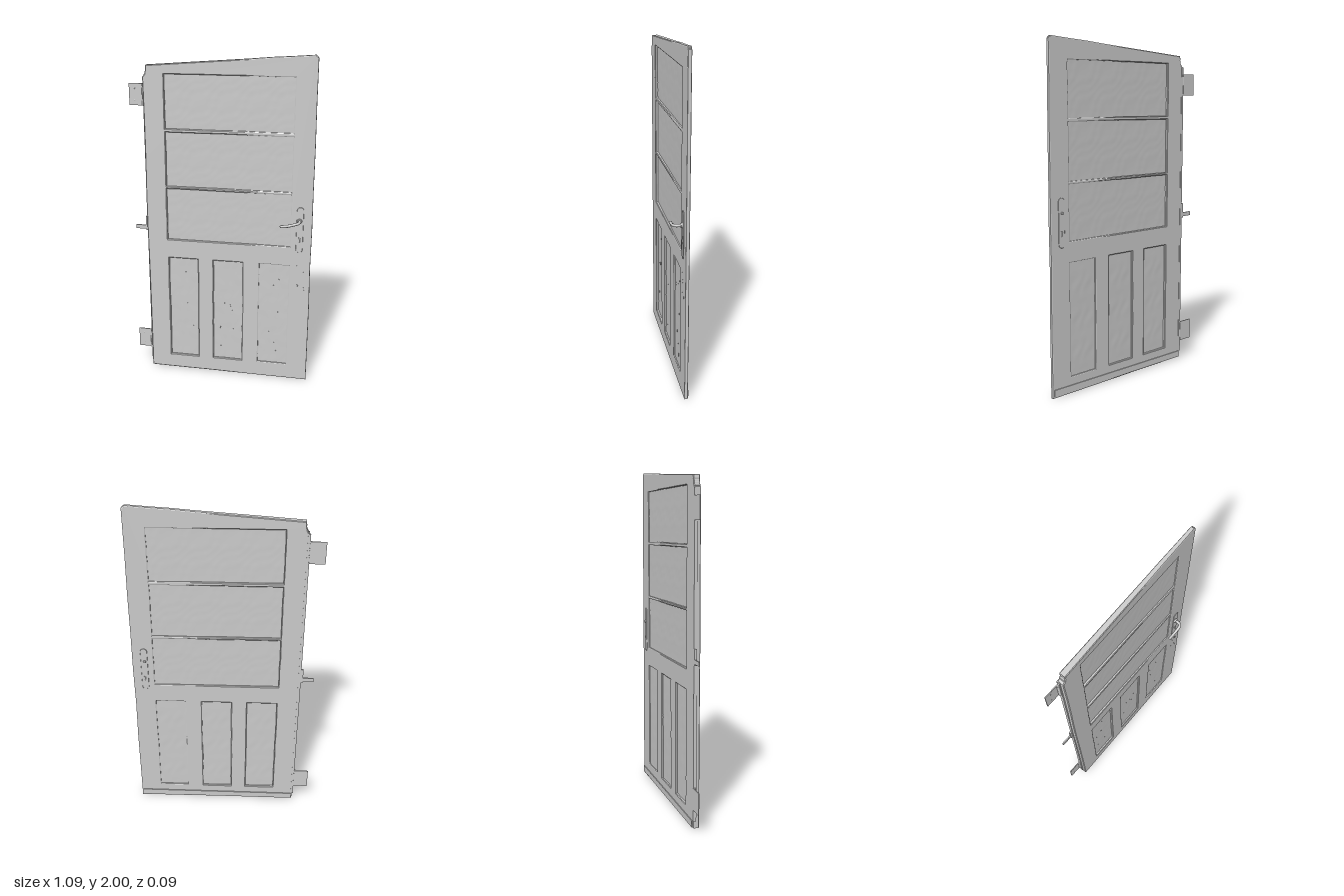
import * as THREE from 'three';

const material = new THREE.MeshStandardMaterial({ color: 0xcccccc });
const BACK = -0.034;
// The front face leans back slightly towards the lock side
const frontZ = (x) => -0.004 - 0.0155 * x;

let seed = 7;
const rand = () => (seed = (seed * 16807) % 2147483647) / 2147483647;

function part(parent, name, geometry, x = 0, y = 0, z = 0) {
  const mesh = new THREE.Mesh(geometry, material);
  mesh.name = name;
  mesh.position.set(x, y, z);
  parent.add(mesh);
  return mesh;
}

function box(parent, name, x0, x1, y0, y1, z0, z1) {
  return part(parent, name, new THREE.BoxGeometry(x1 - x0, y1 - y0, z1 - z0),
    (x0 + x1) / 2, (y0 + y1) / 2, (z0 + z1) / 2);
}

// Subdivides an outline and roughens its edges a little
function wornOutline(corners, steps, wear) {
  const points = [];
  corners.forEach(([x, y], i) => {
    const [nx, ny] = corners[(i + 1) % corners.length];
    for (let k = 0; k < steps; k++) {
      const t = k / steps, w = k ? wear : 0;
      points.push(new THREE.Vector2(
        x + (nx - x) * t + (rand() - 0.5) * w,
        y + (ny - y) * t + Math.max(0, rand() - 0.5) * w));
    }
  });
  return points;
}

// Panel openings: [x0, x1, y0, y1]
const panes = [[-0.33, 0.41, 1.57, 1.88], [-0.33, 0.41, 1.225, 1.55], [-0.33, 0.41, 0.89, 1.21]];
const boards = [[-0.325, -0.145, 0.1, 0.77], [-0.05, 0.13, 0.1, 0.77], [0.23, 0.41, 0.1, 0.77]];

function frameGeometry() {
  const shape = new THREE.Shape(wornOutline([
    [-0.452, 0.008], [0.538, 0], [0.53, 1.985], [0.515, 2], [-0.435, 1.928], [-0.44, 1.88], [-0.455, 1.86],
  ], 8, 0.004));
  for (const [x0, x1, y0, y1] of [...panes, ...boards]) {
    shape.holes.push(new THREE.Path(wornOutline([[x0, y0], [x0, y1], [x1, y1], [x1, y0]], 8, 0.003)));
  }
  const bevel = 0.1;
  const geometry = new THREE.ExtrudeGeometry(shape, {
    depth: 1 - 2 * bevel, bevelThickness: bevel, bevelSize: 0.004, bevelOffset: -0.004, bevelSegments: 1,
  });
  // Fit the unit depth between the back plane and the leaning front plane
  const p = geometry.attributes.position;
  for (let i = 0; i < p.count; i++) {
    p.setZ(i, THREE.MathUtils.lerp(BACK, frontZ(p.getX(i)), p.getZ(i) + bevel));
  }
  geometry.computeVertexNormals();
  return geometry;
}

// Thin sheet with an uneven surface
function sheetGeometry(w, h, depth, bump, fx, fy) {
  const geometry = new THREE.BoxGeometry(w, h, depth, Math.ceil(w * 60), Math.ceil(h * 60), 1);
  const p = geometry.attributes.position;
  for (let i = 0; i < p.count; i++) {
    const x = p.getX(i), y = p.getY(i);
    const wave = Math.sin(x * fx + 2 * Math.sin(y * 31)) * Math.sin(y * fy + 2 * Math.sin(x * 37));
    p.setZ(i, p.getZ(i) + bump * wave);
  }
  geometry.computeVertexNormals();
  return geometry;
}

function addSheets(parent, name, list, fx, fy) {
  for (const [x0, x1, y0, y1] of list) {
    const x = (x0 + x1) / 2;
    part(parent, name, sheetGeometry(x1 - x0 + 0.01, y1 - y0 + 0.01, 0.007, 0.0006, fx, fy),
      x, (y0 + y1) / 2, (BACK + frontZ(x)) / 2).rotation.y = 0.008;
  }
}

function addHinge(parent, y) {
  const hinge = new THREE.Group();
  hinge.name = 'hinge';
  box(hinge, 'hingeLeaf', -0.547, -0.458, y - 0.063, y + 0.063, -0.038, -0.033);
  part(hinge, 'hingeKnuckle', new THREE.CylinderGeometry(0.008, 0.008, 0.126, 12), -0.462, y, -0.03);
  for (const dy of [-0.035, 0.035]) {
    part(hinge, 'hingeScrew', new THREE.SphereGeometry(0.005, 8, 6), -0.515, y + dy, -0.034).scale.z = 0.5;
  }
  parent.add(hinge);
}

// Long rounded lock plate with a keyhole
function plateGeometry() {
  const r = 0.019, h = 0.12;
  const shape = new THREE.Shape();
  shape.absarc(0, h, r, 0, Math.PI);
  shape.absarc(0, -h, r, Math.PI, Math.PI * 2);
  const hole = new THREE.Path();
  hole.absarc(0, -0.05, 0.006, -Math.PI / 3, Math.PI * 4 / 3);
  hole.lineTo(-0.003, -0.075);
  hole.lineTo(0.003, -0.075);
  shape.holes.push(hole);
  return new THREE.ExtrudeGeometry(shape, {
    depth: 0.002, bevelThickness: 0.001, bevelSize: 0.001, bevelSegments: 1, curveSegments: 8,
  });
}

function addLock(parent) {
  const lock = new THREE.Group();
  lock.name = 'lock';
  part(lock, 'frontLockPlate', plateGeometry(), 0.465, 1.0, frontZ(0.465));
  part(lock, 'backLockPlate', plateGeometry(), 0.465, 1.0, BACK - 0.002);
  // Lever: a spindle coming out of the plate and turning along the door
  const path = new THREE.CatmullRomCurve3([
    [0.462, 1.055, -0.012], [0.462, 1.055, 0.022], [0.455, 1.054, 0.034],
    [0.44, 1.05, 0.038], [0.4, 1.038, 0.038], [0.36, 1.032, 0.037],
  ].map((v) => new THREE.Vector3(...v)), false, 'centripetal');
  part(lock, 'handleLever', new THREE.TubeGeometry(path, 32, 0.0085, 10), 0, 0, 0);
  part(lock, 'handleTip', new THREE.SphereGeometry(0.0085, 10, 8), 0.36, 1.032, 0.037);
  const collar = part(lock, 'handleCollar', new THREE.CylinderGeometry(0.014, 0.016, 0.012, 16), 0.462, 1.055, -0.005);
  collar.rotation.x = Math.PI / 2;
  const spindle = part(lock, 'backSpindle', new THREE.CylinderGeometry(0.008, 0.008, 0.012, 10), 0.462, 1.055, -0.039);
  spindle.rotation.x = Math.PI / 2;
  parent.add(lock);
}

export function createModel() {
  const door = new THREE.Group();
  door.name = 'door';
  part(door, 'frame', frameGeometry());
  addSheets(door, 'glassPane', panes, 75, 88);
  addSheets(door, 'lowerPanel', boards, 60, 17);

  // Rebated edge strip along the hinge side, and the worn bottom rail
  box(door, 'edgeStrip', -0.46, -0.445, 0.05, 1.86, -0.036, -0.018);
  box(door, 'bottomStrip', -0.445, 0.53, 0.012, 0.05, -0.039, -0.03);

  for (const y of [1.757, 0.183]) addHinge(door, y);

  // Bolt bracket on the hinge edge
  const bolt = new THREE.Group();
  bolt.name = 'edgeBolt';
  box(bolt, 'boltPin', -0.535, -0.455, 0.938, 0.962, -0.036, -0.028);
  box(bolt, 'boltPlate', -0.472, -0.455, 0.93, 1.02, -0.036, -0.024);
  door.add(bolt);

  addLock(door);

  // Flakes of peeling paint on the lower panels and the lock stile
  const flakes = new THREE.Group();
  flakes.name = 'paintFlakes';
  for (let i = 0; i < 36; i++) {
    const [x0, x1] = i % 4 < 3 ? boards[i % 4] : [0.44, 0.52];
    const onStile = i % 4 === 3;
    const x = x0 + (0.15 + 0.7 * rand()) * (x1 - x0);
    const y = onStile ? 0.6 + 0.2 * rand() : 0.15 + 0.55 * rand();
    const z = onStile ? frontZ(x) : (BACK + frontZ(x)) / 2 + 0.0035;
    const flake = part(flakes, 'paintFlake', new THREE.CylinderGeometry(0.006, 0.007, 0.002, 5), x, y, z);
    flake.rotation.x = Math.PI / 2;
    flake.scale.set(0.4 + 0.4 * rand(), 1, 0.8 + 1.2 * rand());
  }
  door.add(flakes);
  return door;
}
